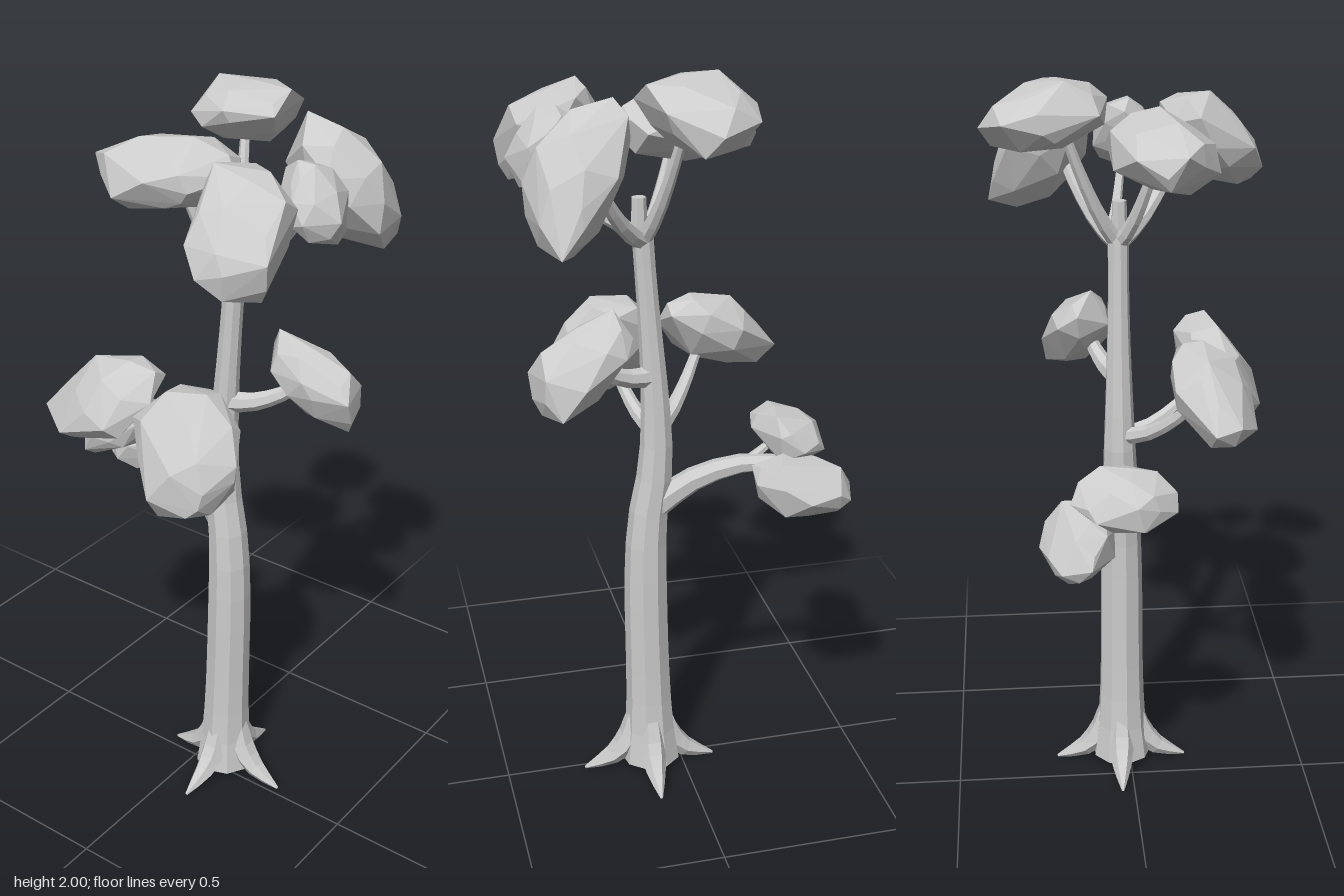
import * as THREE from 'three';
import { ConvexGeometry } from 'three/addons/geometries/ConvexGeometry.js';

const vec = (x, y, z) => new THREE.Vector3(x, y, z);
const material = new THREE.MeshStandardMaterial({ color: 0xcccccc, flatShading: true, side: THREE.DoubleSide });
const AXIS = { x: 0.095, z: -0.027 };

function seeded(seed) {
  let s = seed * 7919 + 17;
  return () => (s = (s * 16807) % 2147483647) / 2147483647;
}

// Faceted limb along a curve, its radius given by a rule over t = 0..1
function limb(name, points, radius, segments = 6, sides = 7) {
  const curve = new THREE.CatmullRomCurve3(points);
  const geometry = new THREE.TubeGeometry(curve, segments, 1, sides, false);
  const pos = geometry.attributes.position;
  const v = vec(0, 0, 0);
  for (let i = 0; i < pos.count; i++) {
    const t = Math.floor(i / (sides + 1)) / segments;
    const c = curve.getPointAt(t);
    v.fromBufferAttribute(pos, i).sub(c).multiplyScalar(radius(t)).add(c);
    pos.setXYZ(i, v.x, v.y, v.z);
  }
  geometry.computeVertexNormals();
  const mesh = new THREE.Mesh(geometry, material);
  mesh.name = name;
  return mesh;
}

// Tapering branch, bowed upwards (or sagging if negative) near its start
function branch(name, start, end, thick = 0.025, bow = -0.03) {
  const near = start.clone().lerp(end, 0.3);
  const far = start.clone().lerp(end, 0.65);
  near.y += bow;
  far.y += bow;
  return limb(name, [start, near, far, end], (t) => thick * (1 - 0.5 * t));
}

// Root running outwards from the foot of the trunk
function root(angle) {
  const at = (d, y) => vec(AXIS.x + d * Math.cos(angle), y, AXIS.z + d * Math.sin(angle));
  const path = [at(0.035, 0.19), at(0.055, 0.1), at(0.1, 0.045), at(0.187, 0.008)];
  return limb('root', path, (t) => 0.004 + 0.032 * Math.sin(Math.PI * (0.2 + 0.8 * t)), 6, 6);
}

// Irregular faceted clump of leaves: a rough ball flattened along a normal that
// leans away from the trunk, narrower sideways the more it leans, and sized to
// the given width, height and depth
function clump(name, center, size, lean) {
  const random = seeded(name.length);
  const n = vec((center.x - AXIS.x) * lean, 0.75, (center.z - AXIS.z) * lean).normalize();
  const sideways = vec(n.z, 0, -n.x).normalize();
  const count = 29;
  const points = [];
  for (let i = 0; i < count; i++) {
    const y = 1 - (2 * (i + 0.5)) / count;
    const a = i * 2.39996 + random() * 0.7;
    const r = Math.sqrt(1 - y * y);
    const p = vec(r * Math.cos(a), y, r * Math.sin(a)).multiplyScalar(0.83 + random() * 0.27);
    p.addScaledVector(n, -p.dot(n) * 0.48);
    points.push(p.addScaledVector(sideways, -p.dot(sideways) * 0.11 * lean));
  }
  const box = new THREE.Box3().setFromPoints(points);
  const middle = box.getCenter(vec(0, 0, 0));
  const scale = size.clone().divide(box.getSize(vec(0, 0, 0)));
  points.forEach((p) => p.sub(middle).multiply(scale).add(center));
  const mesh = new THREE.Mesh(new ConvexGeometry(points), material);
  mesh.name = name;
  return mesh;
}

export function createModel() {
  const tree = new THREE.Group();
  tree.name = 'tree';

  // Trunk with a slight bend where the lowest branch leaves
  const trunkPath = [vec(0.09, 0.03, -0.025), vec(0.095, 0.75, -0.025), vec(0.068, 0.98, -0.03), vec(0.1, 1.59, -0.03)];
  tree.add(limb('trunk', trunkPath,
    (t) => 0.06 - 0.032 * THREE.MathUtils.smoothstep(t, 0.3, 0.95) + 0.024 * Math.exp(-13 * t), 16, 9));

  // Four roots spreading crosswise
  const roots = new THREE.Group();
  roots.name = 'roots';
  for (let i = 0; i < 4; i++) roots.add(root((i * Math.PI) / 2 + 0.04));
  tree.add(roots);

  // Lower and middle branches
  const fork = vec(0.07, 1.04, -0.03);
  tree.add(
    branch('lowBranch', vec(0.08, 0.82, -0.03), vec(-0.28, 0.95, -0.12), 0.04, 0.045),
    branch('lowTwig', vec(-0.16, 0.95, -0.09), vec(-0.27, 1.0, -0.04), 0.016, 0),
    branch('middleFrontRightBranch', fork, vec(-0.1, 1.2, 0.17)),
    branch('middleFrontLeftBranch', fork, vec(0.14, 1.17, 0.2)),
    branch('middleBackLeftBranch', vec(0.08, 1.2, -0.03), vec(0.27, 1.28, -0.11), 0.03, -0.02),
  );

  // Crown branches and the broken stub between them
  const top = vec(0.1, 1.56, -0.03);
  tree.add(
    branch('crownFrontRightBranch', top, vec(0, 1.8, 0.06), 0.022),
    branch('crownBackRightBranch', top, vec(0.02, 1.9, -0.18), 0.022),
    branch('crownFrontLeftBranch', top, vec(0.28, 1.79, 0.16)),
    branch('crownBackLeftBranch', top, vec(0.26, 1.79, -0.18)),
    branch('crownLeftBranch', vec(0.15, 1.6, -0.04), vec(0.32, 1.8, 0), 0.016),
  );
  const stub = new THREE.Mesh(new THREE.CylinderGeometry(0.019, 0.024, 0.12, 7), material);
  stub.name = 'crownStub';
  stub.position.set(0.108, 1.612, -0.026);
  tree.add(stub);

  // Crown leaves
  tree.add(
    clump('crownFrontRightLeaves', vec(-0.03, 1.825, 0.075), vec(0.38, 0.19, 0.27), 0.9),
    clump('crownBackRightLeaves', vec(0.005, 1.915, -0.22), vec(0.27, 0.17, 0.32), 0.9),
    clump('crownFrontLeftLeaves', vec(0.295, 1.795, 0.23), vec(0.25, 0.27, 0.285), 3),
    clump('crownBackLeftLeaves', vec(0.29, 1.78, -0.227), vec(0.26, 0.34, 0.275), 3),
    clump('crownLeftLeaves', vec(0.345, 1.805, 0.005), vec(0.17, 0.19, 0.17), 1.5),
  );

  // Middle and low leaves
  tree.add(
    clump('middleFrontRightLeaves', vec(-0.155, 1.23, 0.195), vec(0.33, 0.235, 0.21), 2),
    clump('middleFrontLeftLeaves', vec(0.15, 1.19, 0.24), vec(0.3, 0.315, 0.24), 3),
    clump('middleBackLeftLeaves', vec(0.28, 1.285, -0.135), vec(0.26, 0.25, 0.19), 2.5),
    clump('lowFrontLeaves', vec(-0.285, 1.005, -0.045), vec(0.19, 0.15, 0.27), 0.5),
    clump('lowBackLeaves', vec(-0.305, 0.905, -0.165), vec(0.27, 0.17, 0.19), 0.5),
  );

  return tree;
}
